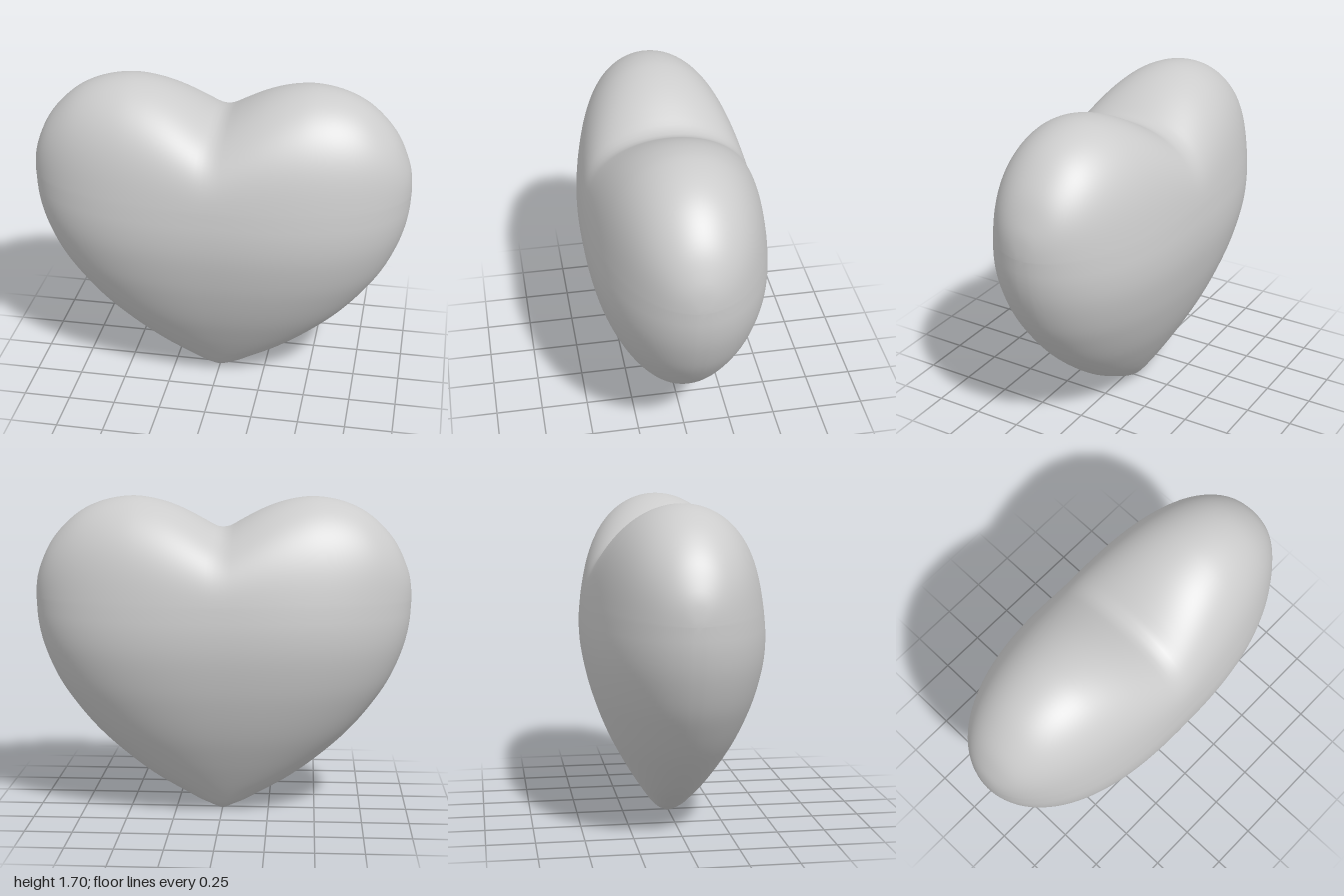
import * as THREE from 'three';
import { mergeVertices } from 'three/addons/utils/BufferGeometryUtils.js';

const WIDEST_Y = 1.16; // the lobes rise above this height, the tip tapers below it
const LOWER_ROWS = 48;
const UPPER_ROWS = 28;
const COLUMNS = 40;    // per quarter of a ring

// Tapering part from the tip up: half width, height, half depth
const TAPER = [
  [0, 0, 0], [0.03, 0.005, 0.032], [0.06, 0.022, 0.058], [0.125, 0.05, 0.088], [0.205, 0.095, 0.122],
  [0.36, 0.185, 0.182], [0.52, 0.305, 0.254], [0.68, 0.452, 0.33], [0.8, 0.597, 0.387],
  [0.89, 0.735, 0.428], [0.963, 0.91, 0.46], [0.992, 1.04, 0.464], [1, WIDEST_Y, 0.453],
];

// Upper edge of one lobe, from the side to the notch
const LOBE_EDGE = [
  [1, WIDEST_Y], [0.995, 1.24], [0.978, 1.32], [0.92, 1.45], [0.84, 1.55], [0.74, 1.63], [0.62, 1.68],
  [0.49, 1.7], [0.38, 1.69], [0.28, 1.663], [0.19, 1.625], [0.1, 1.577], [0.04, 1.543], [0, 1.535],
];

// Columns of one closed ring: front from +x to -x, then back again behind
function makeColumns() {
  const edge = new THREE.SplineCurve(LOBE_EDGE.map(([x, y]) => new THREE.Vector2(x, y)));
  const half = edge.getSpacedPoints(COLUMNS).map((p) => ({
    x: THREE.MathUtils.clamp(p.x, 0, 1),
    rise: Math.max(0, p.y - WIDEST_Y),
  }));
  half[COLUMNS].x = 0;
  const mirrored = half.slice(0, COLUMNS).reverse().map((c) => ({ x: -c.x, rise: c.rise }));
  const front = [...half, ...mirrored];
  const back = front.slice(1, -1).reverse();
  return [
    ...front.map((c) => ({ ...c, side: 1 })),
    ...back.map((c) => ({ ...c, side: -1 })),
  ];
}

function makeHeartGeometry() {
  const columns = makeColumns();
  const taper = new THREE.CatmullRomCurve3(TAPER.map((p) => new THREE.Vector3(...p)))
    .getSpacedPoints(LOWER_ROWS);
  const bulge = (x, power) => Math.sqrt(Math.max(0, 1 - Math.pow(Math.abs(x), power)));
  const pos = [];

  // Tip and belly: rounded horizontal sections
  for (const { x: width, y, z: depth } of taper) {
    const power = 2 + 0.6 * THREE.MathUtils.smoothstep(y, 0, 1);
    for (const c of columns) pos.push(c.x * width, y, c.side * depth * bulge(c.x, power));
  }

  // Lobes: each column arches over from the belly to the upper edge
  const topDepth = taper[LOWER_ROWS].z;
  for (let k = 1; k <= UPPER_ROWS; k++) {
    const u = k === UPPER_ROWS ? 1 : Math.sin((k / UPPER_ROWS) * Math.PI / 2);
    for (const c of columns) {
      const lean = 0.66 * c.rise; // carries on the slope of the belly
      const arch = Math.sqrt(Math.max(0, 1 - lean * u - (1 - lean) * Math.pow(u, 2.8)));
      const z = k === UPPER_ROWS ? 0 : topDepth * bulge(c.x, 2.6) * arch;
      pos.push(c.x, WIDEST_Y + c.rise * u, c.side * z);
    }
  }

  const n = columns.length;
  const index = [];
  for (let r = 0; r < LOWER_ROWS + UPPER_ROWS; r++) {
    for (let j = 0; j < n; j++) {
      const a = r * n + j;
      const b = r * n + ((j + 1) % n);
      index.push(a, a + n, b, b, a + n, b + n);
    }
  }
  const geometry = new THREE.BufferGeometry();
  geometry.setAttribute('position', new THREE.Float32BufferAttribute(pos, 3));
  geometry.setIndex(index);
  const welded = mergeVertices(geometry, 1e-5);
  welded.computeVertexNormals();
  return welded;
}

export function createModel() {
  const group = new THREE.Group();
  group.name = 'heart';
  const lightGrey = new THREE.MeshStandardMaterial({ color: 0xcccccc });
  lightGrey.name = 'lightGrey';
  const body = new THREE.Mesh(makeHeartGeometry(), lightGrey);
  body.name = 'heartBody';
  group.add(body);
  return group;
}
